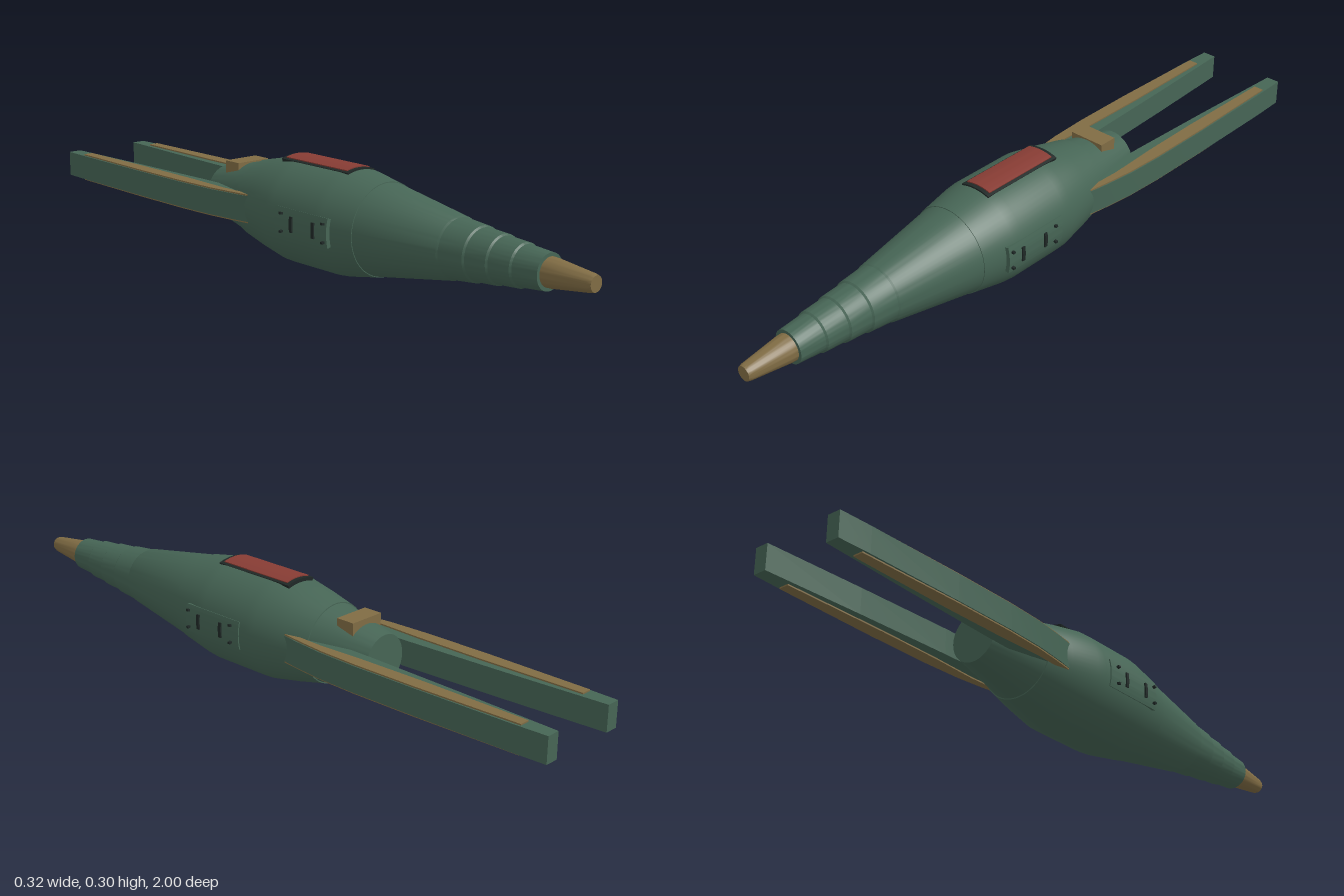
import * as THREE from 'three';
import { toCreasedNormals } from 'three/addons/utils/BufferGeometryUtils.js';

const CY = 0.15; // height of the hull axis

const paint = (name, color) => new THREE.MeshStandardMaterial({ name, color });

// Solid of revolution along z; points are [z, radius] from tail to nose
function revolve(points, segments = 64) {
  const g = new THREE.LatheGeometry(points.map(([z, r]) => new THREE.Vector2(r, z)), segments);
  g.rotateX(Math.PI / 2);
  return toCreasedNormals(g, 0.4);
}

// Curved plate wrapped round the hull axis, centred on an angle
function wrap(r0, r1, angle, half, z0, z1) {
  const s = new THREE.Shape();
  s.absarc(0, 0, r1, angle - half, angle + half, false);
  s.absarc(0, 0, r0, angle + half, angle - half, true);
  const g = new THREE.ExtrudeGeometry(s, { depth: z1 - z0, bevelEnabled: false, curveSegments: 10 });
  g.translate(0, 0, z0);
  return toCreasedNormals(g, 0.5);
}

// Slab with a plan outline of [x, z] points, mirrored for the other side
function slab(plan, side, y0, y1) {
  const s = new THREE.Shape(plan.map(([x, z]) => new THREE.Vector2(side * x, -z)));
  const g = new THREE.ExtrudeGeometry(s, { depth: y1 - y0, bevelEnabled: false });
  g.rotateX(-Math.PI / 2);
  g.translate(0, y0, 0);
  return toCreasedNormals(g, 0.3);
}

export function createModel() {
  const green = paint('hull green', 0x466555);
  const brown = paint('trim brown', 0x806c44);
  const red = paint('hatch red', 0x873c34);
  const dark = paint('dark frame', 0x1f2826);

  const model = new THREE.Group();
  model.name = 'spacecraft';
  const add = (name, geo, mat, parent = model, y = 0) => {
    const m = new THREE.Mesh(geo, mat);
    m.name = name;
    m.position.y = y;
    parent.add(m);
    return m;
  };

  // Hull with stepped nose sections
  add('hull', revolve([
    [-0.375, 0], [-0.375, 0.072], [-0.25, 0.099], [-0.2, 0.111], [-0.2, 0.114], [-0.12, 0.132],
    [-0.03, 0.149], [0.0, 0.15], [0.17, 0.15], [0.2, 0.147], [0.3, 0.129], [0.3, 0.127],
    [0.56, 0.084], [0.565, 0.081], [0.64, 0.074], [0.645, 0.07], [0.71, 0.066], [0.715, 0.062],
    [0.78, 0.058], [0.785, 0.054], [0.86, 0.048], [0.86, 0],
  ]), green, model, CY);

  // Nose cone
  add('noseCone', revolve([
    [0.85, 0], [0.85, 0.039], [0.875, 0.038], [0.99, 0.024], [1, 0.021], [1, 0],
  ], 40), brown, model, CY);

  // Top hatch and its frame
  add('hatchFrame', wrap(0.135, 0.1515, Math.PI / 2, 0.33, -0.07, 0.2), dark, model, CY);
  add('hatch', wrap(0.14, 0.1545, Math.PI / 2, 0.275, -0.058, 0.188), red, model, CY);

  // Block on the tail
  const block = new THREE.Shape([[0.255, 0.252], [0.312, 0.252], [0.312, 0.212], [0.29, 0.212],
    [0.255, 0.222]].map(([z, y]) => new THREE.Vector2(z, y)));
  const blockGeo = new THREE.ExtrudeGeometry(block, { depth: 0.11, bevelEnabled: false });
  blockGeo.rotateY(Math.PI / 2);
  blockGeo.translate(-0.055, 0, 0);
  add('tailBlock', blockGeo, brown);

  const armPlan = [[0.09, -0.09], [0.118, -0.09], [0.134, -0.18], [0.146, -0.28], [0.151, -0.4],
    [0.151, -0.6], [0.147, -0.9], [0.143, -1], [0.103, -1], [0.088, -0.7], [0.076, -0.4],
    [0.074, -0.3], [0.08, -0.2]];
  const trimPlan = [[0.11, -0.13], [0.124, -0.13], [0.134, -0.2], [0.143, -0.28], [0.148, -0.4],
    [0.148, -0.6], [0.141, -0.92], [0.111, -0.92], [0.107, -0.6], [0.109, -0.4], [0.115, -0.25]];

  for (const side of [1, -1]) {
    const half = new THREE.Group();
    half.name = side > 0 ? 'leftSide' : 'rightSide';
    model.add(half);

    // Rear arm with trim strips above and below
    add('rearArm', slab(armPlan, side, 0.113, 0.187), green, half);
    add('armTrimTop', slab(trimPlan, side, 0.185, 0.191), brown, half);
    add('armTrimBottom', slab(trimPlan, side, 0.109, 0.115), brown, half);

    // Side access panel with slots and bolts
    const a = side > 0 ? 0 : Math.PI;
    add('sidePanel', wrap(0.135, 0.1535, a, 0.27, 0.02, 0.23), green, half, CY);
    for (const z of [0.09, 0.178]) {
      add('panelSlot', wrap(0.14, 0.158, a, 0.14, z - 0.005, z + 0.005), dark, half, CY);
    }
    for (const z of [0.05, 0.218]) {
      for (const t of [-0.16, 0.16]) {
        add('panelBolt', wrap(0.14, 0.162, a + t, 0.02, z - 0.004, z + 0.004), dark, half, CY);
      }
    }
  }
  return model;
}
